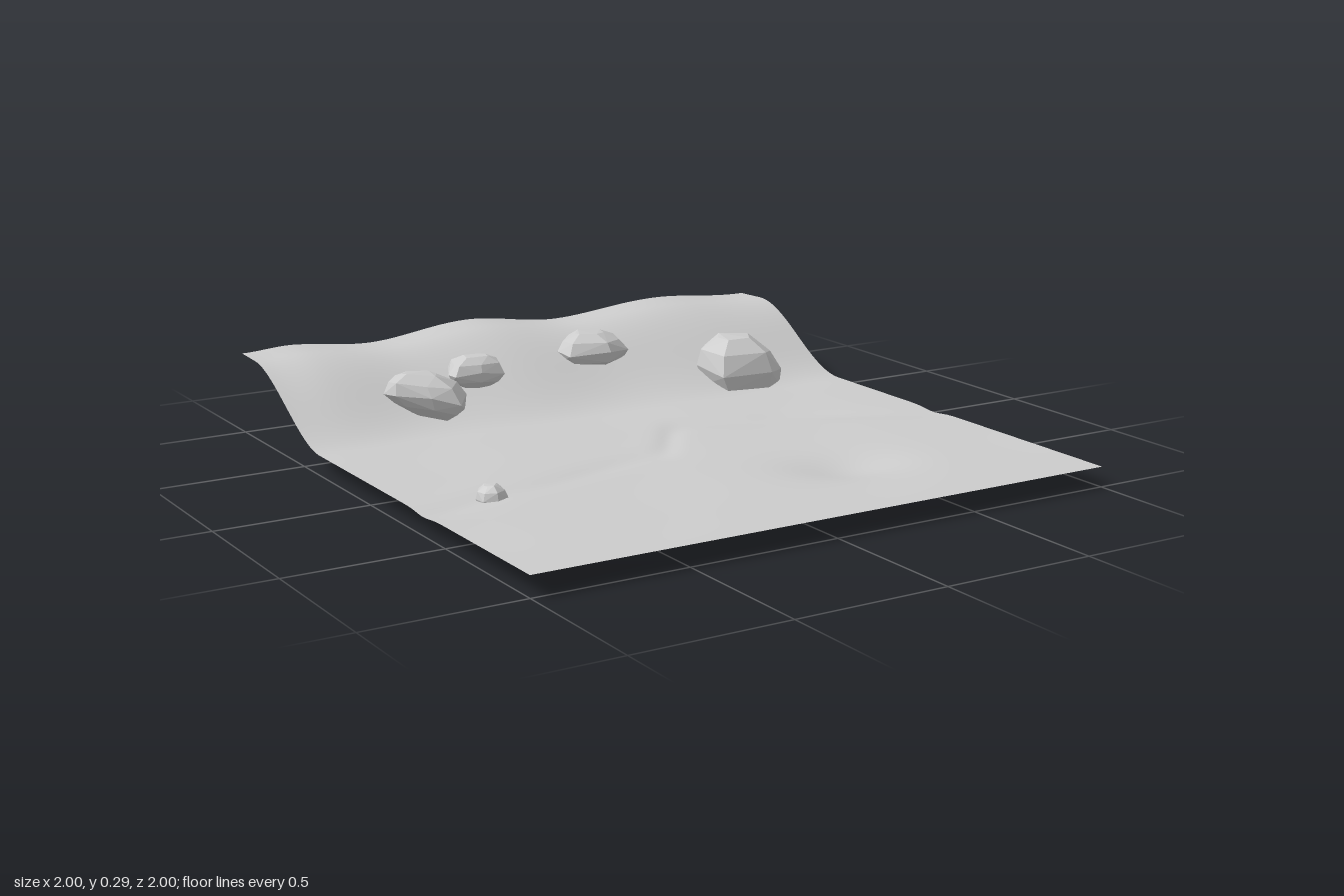
import * as THREE from 'three';
import { ConvexGeometry } from 'three/addons/geometries/ConvexGeometry.js';

const stone = new THREE.MeshStandardMaterial({ color: 0xcccccc, side: THREE.DoubleSide });
stone.name = 'pale grey stone';

const curve = (pts) => {
  // Smooth interpolation through [position, value] pairs
  return (t) => {
    let i = 0;
    while (i < pts.length - 2 && t > pts[i + 1][0]) i++;
    const [a, va] = pts[i], [b, vb] = pts[i + 1];
    return va + (vb - va) * THREE.MathUtils.smoothstep(t, a, b);
  };
};

// Height of the bank along its crest, and the line of the shallow gully
const crest = curve([[-1, 0.265], [-0.82, 0.279], [-0.52, 0.256], [-0.14, 0.288], [0.2, 0.26], [0.65, 0.284], [1, 0.268]]);
const gully = curve([[-1, 0.36], [-0.65, 0.29], [-0.1, 0.16], [0.17, -0.1], [0.45, -0.03], [1, 0.17]]);

function groundHeight(x, z) {
  const foot = -0.36 + 0.02 * Math.sin(3 * x + 1);
  const rise = 1 - THREE.MathUtils.smoothstep(z, -0.88, foot);
  const dip = 0.029 * Math.exp(-(((x - 0.36) / 0.17) ** 2) - ((z - 0.57) / 0.14) ** 2);
  const groove = 0.008 * Math.exp(-(((z - gully(x)) / 0.06) ** 2));
  const inside = (1 - x ** 8) * (1 - z ** 8);
  const ripple = 0.0015 * (Math.sin(9 * x + 4 * z) + Math.sin(13 * z - 5 * x + 1)) * inside;
  const bankRipple = 0.005 * rise * Math.sin(8 * x + 9 * z);
  return 0.064 + (crest(x) - 0.064) * rise - dip - groove + ripple + bankRipple;
}

function makeGround() {
  const geo = new THREE.PlaneGeometry(2, 2, 90, 90).rotateX(-Math.PI / 2);
  const p = geo.attributes.position;
  for (let i = 0; i < p.count; i++) p.setY(i, groundHeight(p.getX(i), p.getZ(i)));
  geo.computeVertexNormals();
  return new THREE.Mesh(geo, stone);
}

// Rock: plan outline [x, z], bottom and top heights, sideways lean of the
// top, and fall of the underside and top along x
function makeRock({ outline, bottom, top, lean = [0, 0], fall = [0, 0] }, seed) {
  const cx = outline.reduce((s, q) => s + q[0], 0) / outline.length;
  const cz = outline.reduce((s, q) => s + q[1], 0) / outline.length;
  const rings = [[0, 0.45], [0.22, 0.84], [0.5, 1], [0.8, 0.84], [1, 0.42]];
  const points = [];
  rings.forEach(([h, scale], r) => {
    outline.forEach(([x, z], i) => {
      const wobble = Math.sin(seed * 7 + r * 5.3 + i * 2.9);
      const k = r === 2 ? 1 : scale * (1 + 0.06 * wobble);
      const shift = h - 0.5;
      const dx = (x - cx) * k;
      const slope = THREE.MathUtils.lerp(fall[0], fall[1], h);
      const dy = r === 2 ? 0.06 * (top - bottom) * wobble : 0.02 * (top - bottom) * wobble;
      points.push(new THREE.Vector3(
        cx + dx + lean[0] * (r === 2 ? 0 : shift),
        THREE.MathUtils.lerp(bottom, top, h) + dy - slope * dx,
        cz + (z - cz) * k + lean[1] * (r === 2 ? 0 : shift)));
    });
  });
  return new THREE.Mesh(new ConvexGeometry(points), stone);
}

const rocks = {
  leftBoulder: {
    outline: [[-0.7, -0.54], [-0.61, -0.645], [-0.44, -0.615], [-0.4, -0.54], [-0.49, -0.4], [-0.58, -0.43], [-0.68, -0.49]],
    bottom: 0.1, top: 0.242, lean: [-0.03, -0.02], fall: [0.26, 0.1],
  },
  smallBankRock: {
    outline: [[-0.43, -0.61], [-0.39, -0.695], [-0.26, -0.69], [-0.22, -0.65], [-0.24, -0.57], [-0.33, -0.56], [-0.42, -0.575]],
    bottom: 0.152, top: 0.253, lean: [0.01, -0.01], fall: [0.08, 0],
  },
  upperBankRock: {
    outline: [[0.03, -0.69], [0.12, -0.78], [0.16, -0.79], [0.295, -0.735], [0.285, -0.64], [0.18, -0.58], [0.04, -0.62]],
    bottom: 0.15, top: 0.268, lean: [-0.01, -0.01], fall: [0, 0.05],
  },
  rightBoulder: {
    outline: [[0.505, -0.54], [0.575, -0.61], [0.69, -0.575], [0.8, -0.53], [0.79, -0.43], [0.71, -0.37], [0.52, -0.39]],
    bottom: 0.006, top: 0.232, lean: [-0.03, -0.02], fall: [0.05, 0.05],
  },
  pebble: {
    outline: [[-0.8, 0.3], [-0.775, 0.255], [-0.735, 0.25], [-0.7, 0.29], [-0.705, 0.325], [-0.75, 0.35], [-0.79, 0.33]],
    bottom: 0.016, top: 0.1,
  },
};

export function createModel() {
  const model = new THREE.Group();
  model.name = 'rockyGround';

  const ground = makeGround();
  ground.name = 'ground';
  model.add(ground);

  Object.entries(rocks).forEach(([name, spec], i) => {
    const rock = makeRock(spec, i + 1);
    rock.name = name;
    model.add(rock);
  });
  return model;
}
